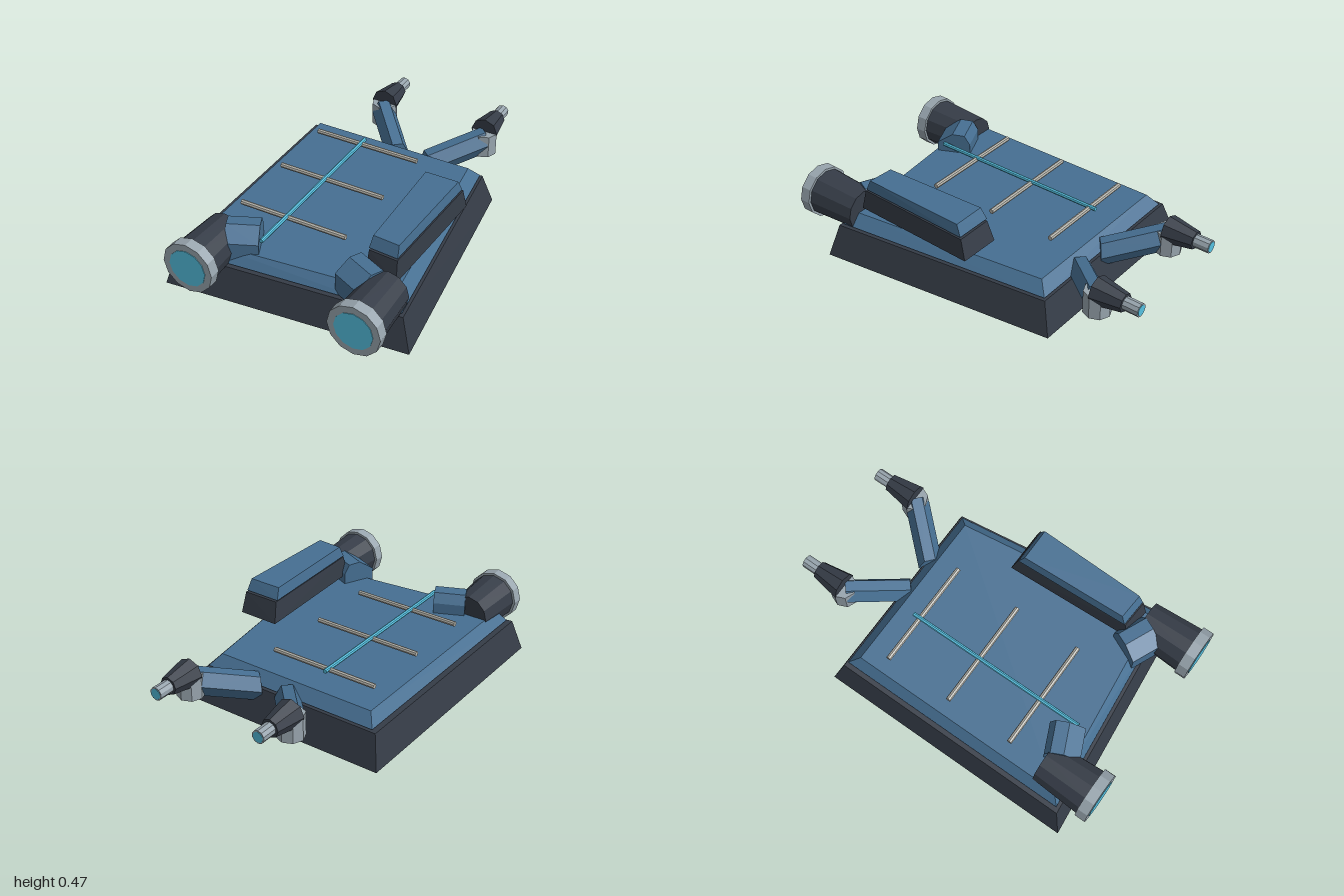
import * as THREE from 'three';
import { ConvexGeometry } from 'three/addons/geometries/ConvexGeometry.js';

const paint = (color) => new THREE.MeshStandardMaterial({ color, flatShading: true });
const BLUE = paint(0x466f92), DARK = paint(0x353c47), GREY = paint(0x98a5ae);
const CYAN = paint(0x55c0e0), STEEL = paint(0xb4b3ab);
const AXIS = 0.022; // the paired fittings mirror about this x

export function createModel() {
  const model = new THREE.Group();

  const add = (name, geometry, material, parent = model) => {
    const mesh = new THREE.Mesh(geometry, material);
    mesh.name = name;
    parent.add(mesh);
    return mesh;
  };
  const hull = (points) => new ConvexGeometry(points.map((p) => new THREE.Vector3(...p)));

  // Tapered slab between a bottom and a top outline of [x, z] corners
  const slab = (name, y0, bottom, y1, top, material) => add(name, hull([
    ...bottom.map(([x, z]) => [x, y0, z]),
    ...top.map(([x, z]) => [x, y1, z]),
  ]), material);

  // Cylinder lying along z, from the back z0 to the front z1
  const barrel = (name, [x, y], z0, r0, z1, r1, sides, material, parent) => {
    const g = new THREE.CylinderGeometry(r1, r0, z1 - z0, sides).rotateX(Math.PI / 2);
    add(name, g, material, parent).position.set(x, y, (z0 + z1) / 2);
  };

  // Skewed base and the plate floating just above it
  slab('base', 0, [[-0.667, -0.565], [0.49, -0.565], [0.667, 0.775], [-0.667, 0.905]],
    0.18, [[-0.62, -0.51], [0.445, -0.51], [0.61, 0.735], [-0.62, 0.855]], DARK);
  slab('plate', 0.188, [[-0.595, -0.5], [0.435, -0.5], [0.595, 0.72], [-0.595, 0.835]],
    0.25, [[-0.55, -0.445], [0.385, -0.445], [0.535, 0.675], [-0.55, 0.79]], BLUE);

  // Side pod: dark lower half, blue cap
  slab('podBody', 0.285, [[0.315, -0.088], [0.545, -0.085], [0.52, 0.64], [0.345, 0.625]],
    0.4, [[0.33, -0.055], [0.535, -0.055], [0.512, 0.615], [0.353, 0.605]], DARK);
  slab('podCap', 0.408, [[0.325, -0.05], [0.532, -0.048], [0.51, 0.61], [0.35, 0.6]],
    0.47, [[0.337, -0.02], [0.522, -0.02], [0.505, 0.585], [0.36, 0.575]], BLUE);

  // Cross rods and the long thin rod over them
  for (const z of [-0.31, 0.075, 0.46]) {
    const g = new THREE.CylinderGeometry(0.014, 0.014, 0.62, 8).rotateZ(Math.PI / 2);
    add('crossRod', g, STEEL).position.set(-0.17, 0.295, z);
  }
  barrel('longRod', [-0.205, 0.303], -0.35, 0.012, 0.7, 0.012, 8, CYAN);

  for (const side of [-1, 1]) {
    const label = side < 0 ? 'right' : 'left';
    const mx = (x) => AXIS + side * x;

    // Front lamp: angled arm, tapered housing, rim and lens
    const lamp = new THREE.Group();
    lamp.name = label + 'FrontLamp';
    model.add(lamp);
    const section = [[0, 0.19], [0, 0.31], [0.03, 0.362], [0.1, 0.365], [0.187, 0.305], [0.187, 0.19]];
    const armPoints = [];
    for (const [x, z] of [[0.297, 0.57], [0.455, 0.64]]) {
      for (const [s, y] of section) armPoints.push([mx(x - s * 0.42), y, z + s * 0.907]);
    }
    add('lampArm', hull(armPoints), BLUE, lamp);
    const c = [mx(0.466), 0.247];
    barrel('lampHousing', c, 0.66, 0.114, 0.94, 0.13, 12, DARK, lamp);
    barrel('lampRim', c, 0.937, 0.143, 0.997, 0.143, 12, GREY, lamp);
    barrel('lampLens', c, 0.98, 0.105, 1.0, 0.105, 12, CYAN, lamp);

    // Rear nozzle: rising strut, upright joint, tapered body and tip
    const nozzle = new THREE.Group();
    nozzle.name = label + 'RearNozzle';
    model.add(nozzle);
    const hex = [[0.03, 0.07], [0.066, 0], [0.03, -0.07], [-0.03, -0.07], [-0.066, 0], [-0.03, 0.07]];
    const strutPoints = [];
    for (const [x, y, z] of [[0.088, 0.17, -0.48], [0.317, 0.25, -0.735]]) {
      for (const [u, v] of hex) strutPoints.push([mx(x + u * 0.75), y + v, z + u * 0.66]);
    }
    add('strut', hull(strutPoints), BLUE, nozzle);
    add('joint', new THREE.CylinderGeometry(0.074, 0.074, 0.13, 8), GREY, nozzle)
      .position.set(mx(0.317), 0.24, -0.75);
    const n = [mx(0.317), 0.303];
    barrel('nozzleBody', n, -0.91, 0.05, -0.745, 0.078, 8, DARK, nozzle);
    barrel('nozzleTip', n, -0.998, 0.036, -0.9, 0.036, 10, GREY, nozzle);
    barrel('nozzleGlow', n, -1.0, 0.029, -0.99, 0.029, 10, CYAN, nozzle);
  }
  return model;
}
